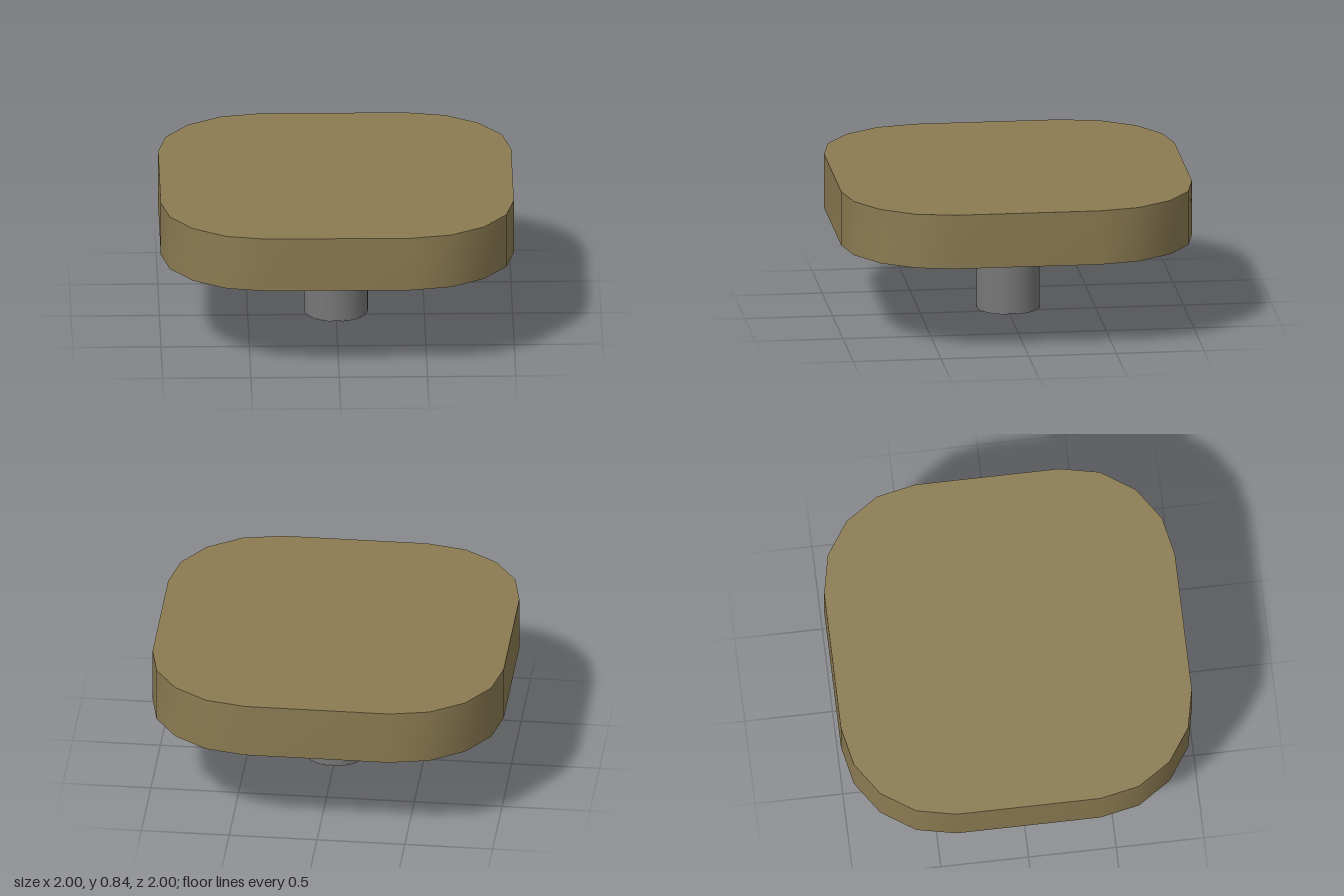
import * as THREE from 'three';

export function createModel() {
  const group = new THREE.Group();
  const tan = new THREE.MeshStandardMaterial({ name: 'tan', color: 0x8b7b52 });
  const grey = new THREE.MeshStandardMaterial({ name: 'grey', color: 0x777777 });

  const add = (name, geometry, material, parent = group) => {
    const mesh = new THREE.Mesh(geometry, material);
    mesh.name = name;
    parent.add(mesh);
    return mesh;
  };

  const top = 0.84, base = 0.525;

  // Rounded-square outline: one corner turned four times
  const corner = [[1, 0.41], [0.953, 0.635], [0.825, 0.825], [0.635, 0.953], [0.41, 1]];
  const outline = [];
  for (let q = 0; q < 4; q++) {
    for (const [x, y] of corner) {
      outline.push(new THREE.Vector2(x, y).rotateAround(new THREE.Vector2(), q * Math.PI / 2));
    }
  }

  // Slab top
  const topCap = new THREE.ShapeGeometry(new THREE.Shape(outline));
  topCap.rotateX(-Math.PI / 2).translate(0, top, 0);
  add('slabTop', topCap, tan);

  // Slab underside, open where the stepped mount fits
  const under = new THREE.Shape(outline);
  const h = 0.8;
  under.holes.push(new THREE.Path([[-h, -h], [-h, h], [h, h], [h, -h]].map(p => new THREE.Vector2(...p))));
  const underCap = new THREE.ShapeGeometry(under);
  underCap.rotateX(Math.PI / 2).translate(0, base, 0);
  add('slabUnderside', underCap, tan);

  // Slab side with smooth normals
  const n = outline.length, positions = [], index = [];
  outline.forEach((p, i) => {
    positions.push(p.x, base, p.y, p.x, top, p.y);
    const b0 = 2 * i, b1 = 2 * ((i + 1) % n);
    index.push(b0, b0 + 1, b1, b1, b0 + 1, b1 + 1);
  });
  const side = new THREE.BufferGeometry();
  side.setAttribute('position', new THREE.Float32BufferAttribute(positions, 3));
  side.setIndex(index);
  side.computeVertexNormals();
  add('slabSide', side, tan);

  // Square stepped mount: neck, small plate, groove, large plate, outer groove
  const steps = [
    [0.11, 0.35], [0.11, 0.44], [0.227, 0.44], [0.227, 0.485], [0.295, 0.485],
    [0.295, 0.51], [0.335, 0.51], [0.335, 0.485], [0.715, 0.485],
    [0.715, 0.525], [0.8, 0.565], [0.8, 0.525],
  ].map(([r, y]) => new THREE.Vector2(r * Math.SQRT2, y));
  const mount = new THREE.LatheGeometry(steps, 4, Math.PI / 4).toNonIndexed();
  mount.computeVertexNormals();
  add('steppedMount', mount, tan);

  // Round stem
  const R = 0.18, slotY = 0.03, g = 0.022;
  const stem = new THREE.CylinderGeometry(R, R, 0.36 - slotY, 32);
  stem.translate(0, (0.36 + slotY) / 2, 0);
  add('stem', stem, grey);

  // Shallow domed foot in four quarters, leaving a cross slot
  const foot = new THREE.Group();
  foot.name = 'slottedFoot';
  group.add(foot);
  const a0 = Math.asin(g / R), quarter = [new THREE.Vector2(g, g)];
  for (let i = 0; i <= 8; i++) {
    const a = a0 + (Math.PI / 2 - 2 * a0) * i / 8;
    quarter.push(new THREE.Vector2(R * Math.cos(a), R * Math.sin(a)));
  }
  const quarterGeo = new THREE.ExtrudeGeometry(new THREE.Shape(quarter), { depth: slotY, bevelEnabled: false });
  quarterGeo.rotateX(Math.PI / 2).translate(0, slotY, 0);
  const pos = quarterGeo.attributes.position;
  for (let i = 0; i < pos.count; i++) {
    if (pos.getY(i) < slotY / 2) {
      const r = Math.hypot(pos.getX(i), pos.getZ(i)) / R;
      pos.setY(i, 0.025 * r * r);
    }
  }
  quarterGeo.computeVertexNormals();
  for (let q = 0; q < 4; q++) {
    add('footQuarter', quarterGeo, grey, foot).rotation.y = q * Math.PI / 2;
  }

  return group;
}
